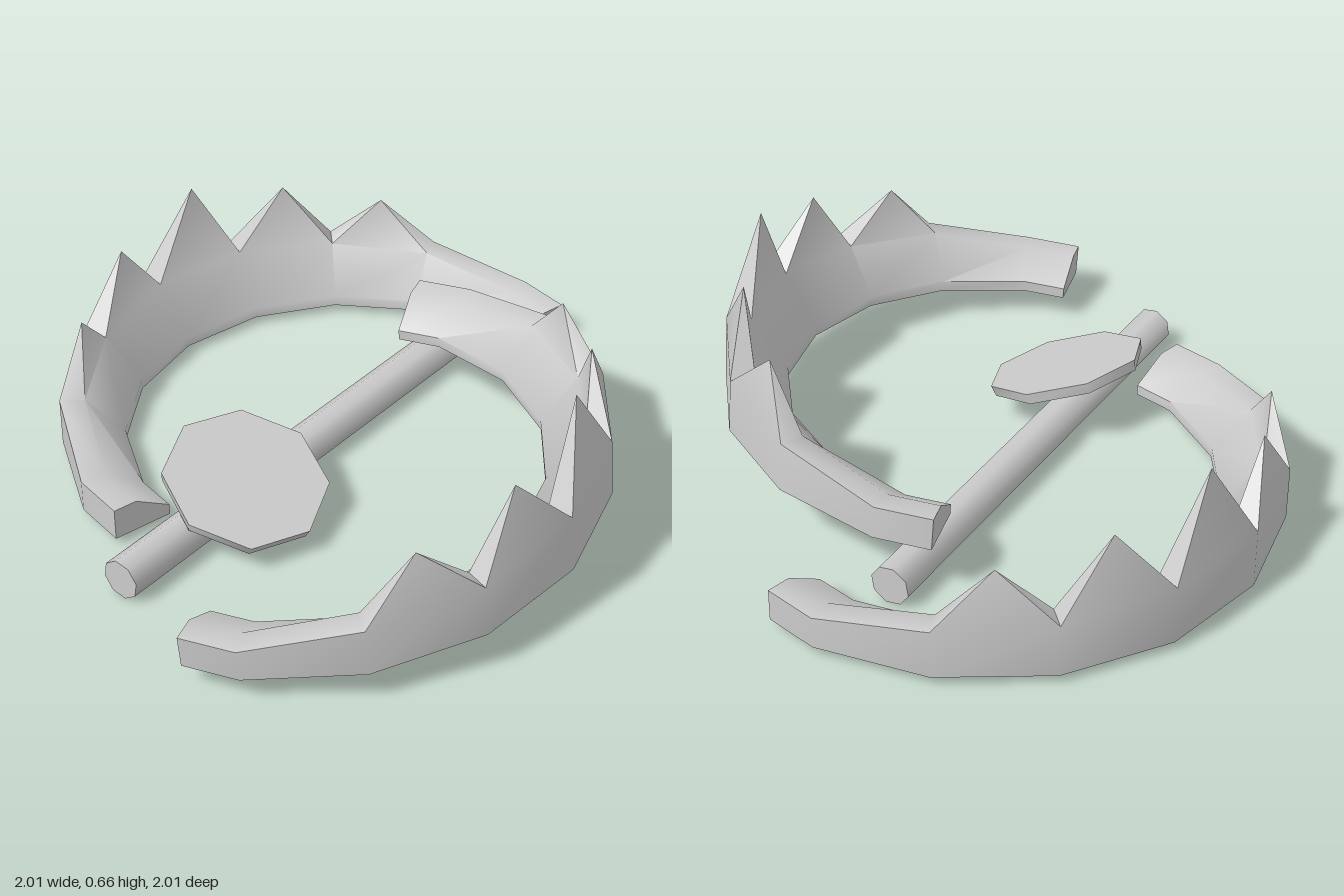
import * as THREE from 'three';
import { toCreasedNormals } from 'three/addons/utils/BufferGeometryUtils.js';

const material = new THREE.MeshStandardMaterial({ color: 0xcccccc });

// Half-ring jaw swept from a five-sided section; the ring bulges toward -z
function jawGeometry() {
  const step = Math.PI / 8;
  const ridge = [0.105, 0.16, 0.175, 0.195]; // ridge height from the ends to the middle
  const teeth = [0.34, 0.405, 0.49, 0.405, 0.34];
  const positions = [], index = [];
  const N = 5, stations = 10;

  for (let i = 0; i < stations; i++) {
    const k = Math.min(Math.max(i - 1, 0), 7);
    const angle = (k + 0.5) * step;
    const isEnd = i === 0 || i === stations - 1;
    const top = ridge[Math.min(k, 7 - k)];
    const section = [
      [0.92, 0], [0.92, top], [0.84, top], [0.72, 0.035], [0.72, 0],
    ];
    for (const [r, y] of section) {
      positions.push(r * Math.cos(angle), y, isEnd ? 0 : -r * Math.sin(angle));
    }
  }

  for (let i = 0; i < stations - 1; i++) {
    for (let j = 0; j < N; j++) {
      const a = i * N + j, b = i * N + (j + 1) % N;
      const corners = [a, a + N, b + N, b];
      const tooth = i - 2;
      if (j === 1 && tooth >= 0 && tooth < teeth.length) {
        // pointed tooth over the ridge of this segment
        const angle = i * step;
        const apex = positions.length / 3;
        positions.push(0.858 * Math.cos(angle), teeth[tooth], -0.858 * Math.sin(angle));
        corners.forEach((c, n) => index.push(c, corners[(n + 1) % 4], apex));
      } else {
        index.push(a, a + N, b + N, a, b + N, b);
      }
    }
  }

  // flat caps on both ends
  const last = (stations - 1) * N;
  for (let j = 1; j < N - 1; j++) {
    index.push(0, j, j + 1, last, last + j + 1, last + j);
  }

  const geometry = new THREE.BufferGeometry();
  geometry.setAttribute('position', new THREE.Float32BufferAttribute(positions, 3));
  geometry.setIndex(index);
  return toCreasedNormals(geometry, 1.0);
}

export function createModel() {
  const group = new THREE.Group();
  const add = (name, geometry) => {
    const mesh = new THREE.Mesh(geometry, material);
    mesh.name = name;
    group.add(mesh);
    return mesh;
  };

  // Back jaw lies flat
  const jaw = jawGeometry();
  add('backJaw', jaw).position.set(0.095, 0.03, -0.1);

  // Front jaw is turned toward the front and slightly tilted
  const front = add('frontJaw', jaw);
  const up = new THREE.Vector3(-0.078, 1, -0.021).normalize();
  const side = new THREE.Vector3().crossVectors(up, new THREE.Vector3(-0.478, 0, -0.878)).normalize();
  const back = new THREE.Vector3().crossVectors(side, up);
  front.quaternion.setFromRotationMatrix(new THREE.Matrix4().makeBasis(side, up, back));
  front.position.set(-0.21, 0.123, 0.09);

  // Base rod on the ground
  const start = new THREE.Vector3(-0.925, 0.065, 0.103);
  const end = new THREE.Vector3(0.683, 0.065, -0.27);
  const rodGeometry = new THREE.CylinderGeometry(0.065, 0.065, start.distanceTo(end), 8);
  const rod = add('baseRod', toCreasedNormals(rodGeometry, 1.0));
  rod.quaternion.setFromUnitVectors(new THREE.Vector3(0, 1, 0), end.clone().sub(start).normalize());
  rod.position.lerpVectors(start, end, 0.5);

  // Octagonal trigger plate, leaning down at the front
  const plateGeometry = new THREE.CylinderGeometry(0.258, 0.25, 0.036, 8).rotateY(0.235);
  const plate = add('triggerPlate', toCreasedNormals(plateGeometry, 1.0));
  plate.rotation.x = 0.35;
  plate.position.set(-0.43, 0.155, 0.045);

  return group;
}
